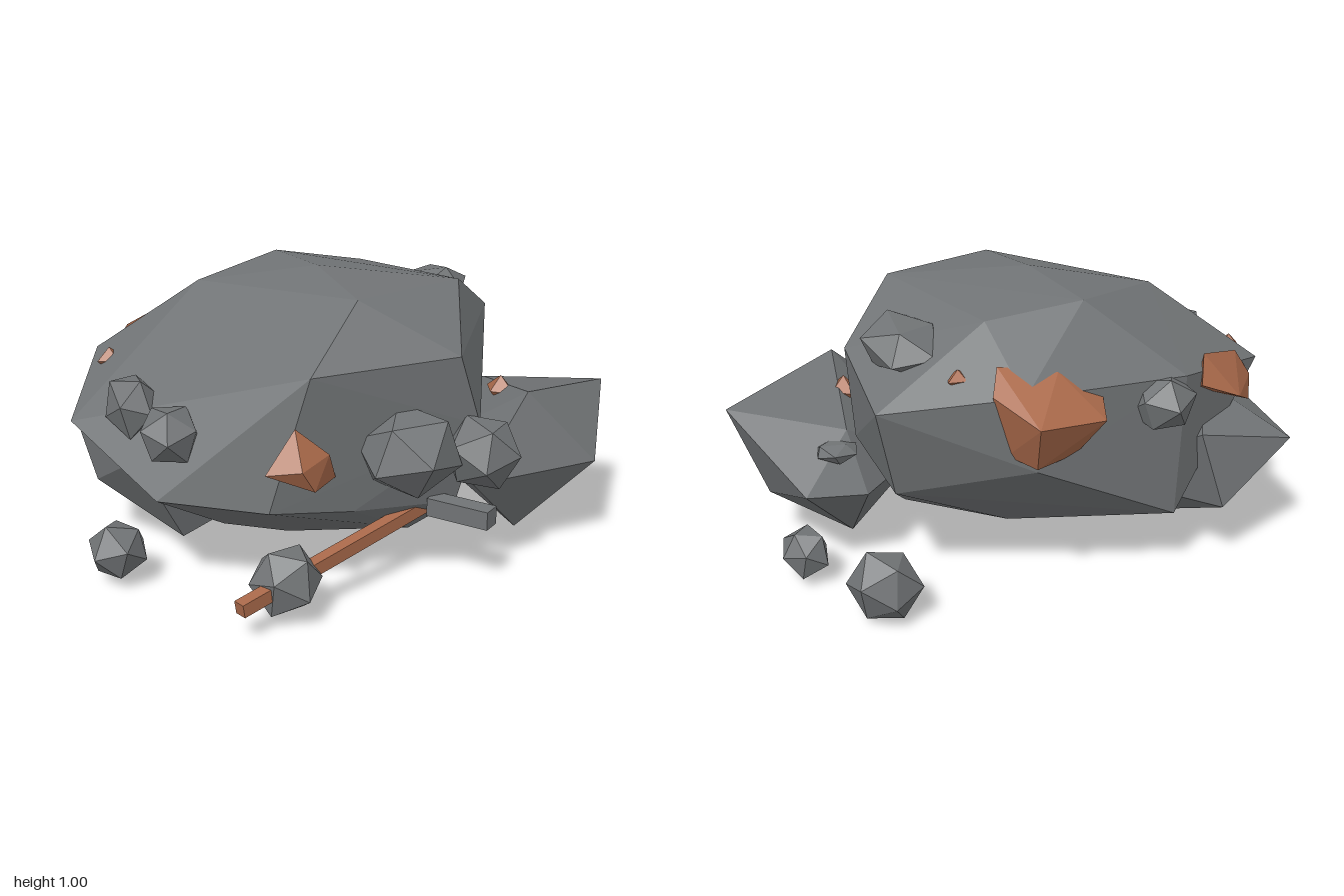
import * as THREE from 'three';
import { ConvexGeometry } from 'three/addons/geometries/ConvexGeometry.js';

const stone = new THREE.MeshStandardMaterial({ color: 0x707375, flatShading: true });
stone.name = 'stone grey';
const ore = new THREE.MeshStandardMaterial({ color: 0xa9694a, flatShading: true });
ore.name = 'copper ore';

// Faceted chunk wrapped around a few corner points
function chunk(name, material, corners) {
  const geo = new ConvexGeometry(corners.map(c => new THREE.Vector3(...c)));
  const mesh = new THREE.Mesh(geo, material);
  mesh.name = name;
  return mesh;
}

// Slightly irregular twenty-sided pebble
function pebble(name, [x, y, z], [rx, ry, rz], seed, tilt = 0) {
  const geo = new THREE.IcosahedronGeometry(1, 0);
  const p = geo.attributes.position;
  const v = new THREE.Vector3();
  for (let i = 0; i < p.count; i++) {
    v.fromBufferAttribute(p, i);
    const n = Math.sin(v.x * 5.1 + v.y * 7.3 + v.z * 3.7 + seed * 2.4);
    v.multiplyScalar(1 + 0.06 * n);
    p.setXYZ(i, v.x, v.y, v.z);
  }
  geo.rotateX(0.55).rotateY(seed * 0.7);
  geo.scale(rx, ry, rz);
  geo.computeVertexNormals();
  const mesh = new THREE.Mesh(geo, stone);
  mesh.name = name;
  mesh.position.set(x, y, z);
  mesh.rotation.x = tilt;
  return mesh;
}

// Small pointed ore crystal
function shard(name, [x, y, z], [rx, ry, rz], turn) {
  const mesh = new THREE.Mesh(new THREE.OctahedronGeometry(1, 0), ore);
  mesh.name = name;
  mesh.position.set(x, y, z);
  mesh.scale.set(rx, ry, rz);
  mesh.rotation.set(0, turn, 0);
  return mesh;
}

export function createModel() {
  const group = new THREE.Group();
  group.name = 'oreRock';

  // Main boulder: crown, shoulders, waist, underside
  group.add(chunk('mainBoulder', stone, [
    [-0.07, 1.0, -0.03], [-0.08, 0.96, 0.36], [0.38, 0.96, 0.21], [-0.46, 0.94, -0.22],
    [-0.08, 0.98, -0.43], [0.25, 0.93, -0.36], [-0.41, 0.87, 0.13],
    [-0.34, 0.78, 0.58], [0.2, 0.79, 0.58], [0.63, 0.79, -0.03], [0.66, 0.69, -0.42],
    [0.24, 0.76, -0.65], [-0.36, 0.74, -0.65], [-0.8, 0.67, -0.43],
    [-0.99, 0.53, -0.03], [-0.8, 0.35, 0.36], [-0.48, 0.33, 0.56], [-0.18, 0.29, 0.56],
    [0.22, 0.25, 0.53], [0.28, 0.54, 0.58],
    [0.62, 0.48, -0.08], [0.58, 0.37, -0.36], [0.2, 0.5, -0.66], [-0.33, 0.24, -0.66],
    [-0.3, 0.11, 0.25], [0.08, 0.14, 0.45], [0.38, 0.1, 0.1], [0.13, 0.14, -0.28],
    [-0.47, 0.1, -0.23], [-0.49, 0.11, 0.1]
  ]));

  // Large side rocks
  group.add(chunk('leftSideRock', stone, [
    [0.52, 0.6, 0.49], [0.995, 0.52, 0.25], [0.75, 0.34, 0.59], [0.24, 0.34, 0.62],
    [0.5, 0.08, 0.47], [0.87, 0.19, 0.2], [0.84, 0.33, -0.19], [0.64, 0.49, -0.04],
    [0.62, 0.07, 0.01], [0.62, 0.3, -0.19], [0.3, 0.3, 0.1]
  ]));
  group.add(chunk('rightBackRock', stone, [
    [-0.83, 0.42, -0.63], [-0.45, 0.5, -0.63], [-0.92, 0.42, -0.25], [-0.88, 0.24, -0.18],
    [-0.52, 0.23, -0.68], [-0.57, 0.04, -0.3], [-0.61, 0.03, -0.02], [-0.3, 0.14, -0.05],
    [-0.8, 0.4, 0.1], [-0.6, 0.6, -0.4]
  ]));

  // Pebbles: position, radii, tilt
  [
    ['frontPebbleLarge', [0, 0.49, 0.6], [0.19, 0.16, 0.175]],
    ['frontPebbleSmall', [0.27, 0.46, 0.62], [0.14, 0.135, 0.135]],
    ['groundPebbleFront', [-0.465, 0.14, 0.665], [0.128, 0.118, 0.12]],
    ['groundPebbleRight', [-0.9, 0.125, 0.2], [0.11, 0.11, 0.11]],
    ['sidePebbleRight', [-0.735, 0.56, 0.31], [0.108, 0.105, 0.12]],
    ['sidePebbleUpper', [-0.8, 0.6, 0.1], [0.1, 0.115, 0.135]],
    ['groundPebbleBack', [0.68, 0.125, -0.51], [0.125, 0.13, 0.125]],
    ['groundPebbleLeft', [0.845, 0.11, -0.15], [0.088, 0.09, 0.105]],
    ['shoulderPebble', [0.475, 0.835, -0.2], [0.15, 0.09, 0.175], -0.25],
    ['backPebble', [-0.27, 0.66, -0.645], [0.12, 0.105, 0.105]],
    ['wedgedPebble', [0.69, 0.435, -0.08], [0.085, 0.035, 0.08]]
  ].forEach(([name, pos, r, tilt], i) => group.add(pebble(name, pos, r, i, tilt)));

  // Blocky splinter under the front pebbles
  const splinter = new THREE.Mesh(new THREE.BoxGeometry(0.07, 0.065, 0.23), stone);
  splinter.name = 'stoneSplinter';
  splinter.position.set(0.19, 0.257, 0.63);
  splinter.rotation.set(0, 0.6, 0);
  group.add(splinter);

  // Ore lumps bedded in the boulder
  group.add(chunk('backOre', ore, [
    [-0.04, 0.72, -0.65], [0, 0.68, -0.75], [0.25, 0.7, -0.78], [0.33, 0.76, -0.6],
    [0.28, 0.83, -0.52], [0.1, 0.81, -0.6], [0.05, 0.53, -0.64], [0.22, 0.53, -0.7], [0.28, 0.55, -0.6]
  ]));
  group.add(chunk('cornerOre', ore, [
    [-0.74, 0.63, -0.48], [-0.67, 0.73, -0.48], [-0.47, 0.78, -0.58], [-0.43, 0.69, -0.64],
    [-0.58, 0.63, -0.65], [-0.7, 0.56, -0.54], [-0.5, 0.62, -0.5]
  ]));
  group.add(chunk('frontOre', ore, [
    [-0.41, 0.635, 0.62], [-0.52, 0.5, 0.64], [-0.42, 0.52, 0.71], [-0.37, 0.44, 0.69],
    [-0.25, 0.43, 0.57], [-0.3, 0.54, 0.64], [-0.45, 0.46, 0.5]
  ]));

  // Small ore crystals
  group.add(shard('rightCrystal', [-0.79, 0.665, -0.27], [0.055, 0.045, 0.05], 0.4));
  group.add(shard('backCrystal', [0.39, 0.785, -0.46], [0.05, 0.033, 0.04], 0.5));
  group.add(shard('leftCrystal', [0.555, 0.53, 0.24], [0.05, 0.055, 0.075], 0.2));

  // Ore bar sticking out beneath the boulder
  const a = new THREE.Vector3(-0.65, 0.115, 0.75), b = new THREE.Vector3(0.12, 0.24, 0.49);
  const bar = new THREE.Mesh(new THREE.BoxGeometry(0.045, 0.045, a.distanceTo(b)), ore);
  bar.name = 'oreBar';
  bar.position.copy(a).lerp(b, 0.5);
  bar.lookAt(b);
  group.add(bar);

  return group;
}
